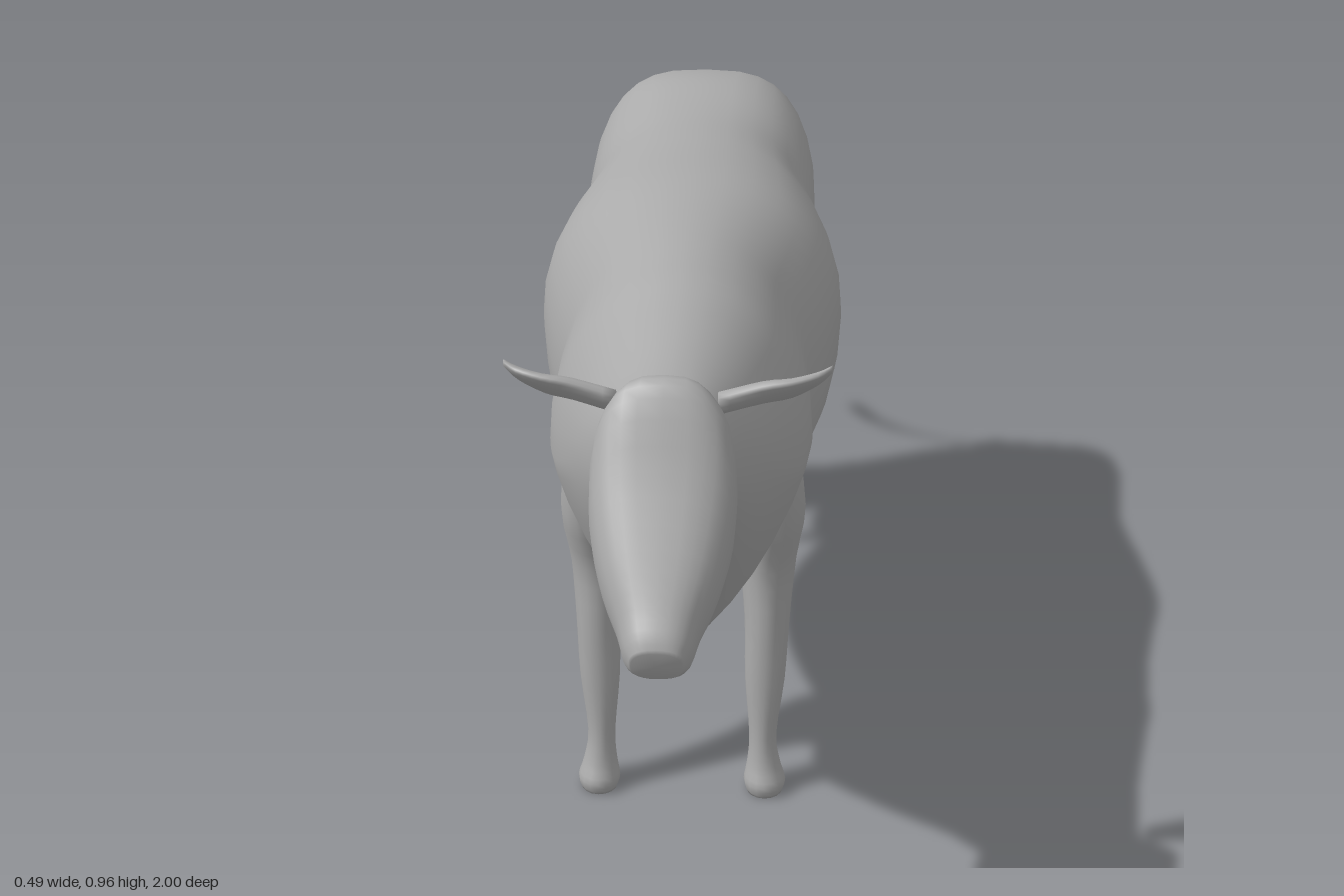
import * as THREE from 'three';

const hide = new THREE.MeshStandardMaterial({ color: 0xaaaaaa });
hide.name = 'hide grey';

// Catmull-Rom resampling of numeric rows, n steps per span
function smooth(rows, n) {
  const out = [];
  const last = rows.length - 1;
  for (let i = 0; i < last; i++) {
    const a = rows[Math.max(i - 1, 0)], b = rows[i], c = rows[i + 1], d = rows[Math.min(i + 2, last)];
    for (let k = 0; k < n; k++) {
      const t = k / n;
      out.push(b.map((v, j) => v + 0.5 * t * (c[j] - a[j]
        + t * (2 * a[j] - 5 * v + 4 * c[j] - d[j] + t * (3 * (v - c[j]) + d[j] - a[j])))));
    }
  }
  out.push(rows[last]);
  return out;
}

// Closed skin through rings; each ring is a superellipse with centre c,
// side axis u, upper axis up, lower axis down and a squareness for each half
function loft(name, rings, sides = 24) {
  const pos = [], idx = [];
  const pw = (v, e) => Math.sign(v) * Math.pow(Math.abs(v), 2 / e);
  for (const { c, u, up, down = up, e1 = 2, e2 = 2 } of rings) {
    for (let k = 0; k < sides; k++) {
      const a = (k / sides) * Math.PI * 2;
      const s = Math.sin(a), e = s >= 0 ? e1 : e2, v = s >= 0 ? up : down;
      for (let j = 0; j < 3; j++) pos.push(c[j] + u[j] * pw(Math.cos(a), e) + v[j] * pw(s, e));
    }
  }
  const last = rings.length - 1;
  const capA = pos.length / 3, capB = capA + 1;
  pos.push(...rings[0].c, ...rings[last].c);
  for (let k = 0; k < sides; k++) {
    const m = (k + 1) % sides;
    for (let i = 0; i < last; i++) {
      const a = i * sides + k, b = i * sides + m;
      idx.push(a, b, a + sides, b, b + sides, a + sides);
    }
    idx.push(capA, m, k, capB, last * sides + k, last * sides + m);
  }
  // Turn the faces outward if the signed volume is negative
  const P = i => new THREE.Vector3().fromArray(pos, i * 3);
  const o = P(capA);
  let vol = 0;
  for (let i = 0; i < idx.length; i += 3) {
    const [a, b, c] = [0, 1, 2].map(k => P(idx[i + k]).sub(o));
    vol += a.dot(b.cross(c));
  }
  if (vol < 0) idx.reverse();
  const g = new THREE.BufferGeometry();
  g.setAttribute('position', new THREE.Float32BufferAttribute(pos, 3));
  g.setIndex(idx);
  g.computeVertexNormals();
  const mesh = new THREE.Mesh(g, hide);
  mesh.name = name;
  return mesh;
}

// Row: top z, top y, bottom z, bottom y, half width, height of widest point, squareness above, below
const trunkRing = ([zt, yt, zb, yb, w, f, e1, e2]) => {
  const y = yb + (yt - yb) * f, z = zb + (zt - zb) * f;
  return { c: [0, y, z], u: [w, 0, 0], up: [0, yt - y, zt - z], down: [0, y - yb, z - zb], e1, e2 };
};

// Row: x, y, z, half width, half depth
const limbRing = s => ([x, y, z, rx, rz]) => ({ c: [s * x, y, z], u: [rx, 0, 0], up: [0, 0, rz] });

const BODY = [
  [0.75, 0.90, 0.70, 0.66, 0.085, 0.5, 2.2, 2],
  [0.66, 0.895, 0.64, 0.61, 0.105, 0.5, 2.2, 2],
  [0.57, 0.893, 0.56, 0.51, 0.135, 0.55, 2, 1.8],
  [0.48, 0.90, 0.47, 0.40, 0.165, 0.55, 2, 1.5],
  [0.40, 0.91, 0.385, 0.31, 0.19, 0.55, 2, 1.35],
  [0.34, 0.92, 0.33, 0.305, 0.20, 0.55, 2, 1.35],
  [0.28, 0.925, 0.28, 0.37, 0.20, 0.5, 2, 1.7],
  [0.20, 0.93, 0.20, 0.385, 0.195, 0.5, 2.1, 2],
  [0.08, 0.933, 0.08, 0.365, 0.222, 0.52, 2.1, 2.1],
  [-0.05, 0.935, -0.05, 0.34, 0.245, 0.58, 2.1, 2.1],
  [-0.20, 0.925, -0.20, 0.33, 0.235, 0.57, 2.1, 2.1],
  [-0.28, 0.92, -0.28, 0.35, 0.215, 0.55, 2.2, 2.1],
  [-0.36, 0.915, -0.36, 0.41, 0.203, 0.5, 2.3, 2.2],
];
const RUMP = [
  [-0.44, 0.915, -0.44, 0.475, 0.20, 0.5, 2.4, 2.4],
  [-0.53, 0.922, -0.53, 0.49, 0.197, 0.5, 2.5, 2.6],
  [-0.60, 0.912, -0.59, 0.47, 0.185, 0.5, 2.9, 3],
  [-0.645, 0.895, -0.635, 0.46, 0.168, 0.5, 3, 3],
  [-0.672, 0.85, -0.665, 0.47, 0.14, 0.5, 3, 3],
  [-0.685, 0.78, -0.68, 0.52, 0.10, 0.5, 2.6, 2.6],
];
const HEAD = [
  [0.735, 0.93, 0.66, 0.68, 0.065, 0.5, 2.4, 2],
  [0.78, 0.965, 0.70, 0.655, 0.082, 0.5, 2.8, 2],
  [0.81, 0.945, 0.76, 0.64, 0.098, 0.58, 2.8, 2],
  [0.86, 0.86, 0.82, 0.622, 0.098, 0.62, 2.8, 2],
  [0.92, 0.775, 0.87, 0.61, 0.08, 0.6, 2.7, 2],
  [0.965, 0.715, 0.91, 0.602, 0.057, 0.55, 2.5, 2.2],
  [0.99, 0.685, 0.95, 0.60, 0.046, 0.5, 2.5, 2.5],
  [1.0, 0.665, 0.985, 0.618, 0.034, 0.5, 2.5, 2.5],
];
const FRONT_LEG = [
  [0.13, 0.64, 0.29, 0.045, 0.09],
  [0.143, 0.50, 0.265, 0.05, 0.085],
  [0.135, 0.40, 0.255, 0.045, 0.065],
  [0.135, 0.30, 0.28, 0.036, 0.042],
  [0.133, 0.20, 0.297, 0.032, 0.030],
  [0.131, 0.10, 0.307, 0.022, 0.026],
  [0.133, 0.05, 0.312, 0.027, 0.030],
  [0.135, 0.02, 0.317, 0.034, 0.037],
  [0.135, 0.0, 0.317, 0.029, 0.032],
];
const HIND_LEG = [
  [0.105, 0.70, -0.56, 0.08, 0.10],
  [0.125, 0.56, -0.575, 0.068, 0.10],
  [0.13, 0.47, -0.605, 0.053, 0.075],
  [0.13, 0.40, -0.65, 0.042, 0.052],
  [0.13, 0.33, -0.667, 0.035, 0.042],
  [0.128, 0.20, -0.675, 0.028, 0.030],
  [0.127, 0.10, -0.675, 0.024, 0.027],
  [0.128, 0.05, -0.678, 0.030, 0.033],
  [0.13, 0.02, -0.68, 0.035, 0.040],
  [0.13, 0.0, -0.68, 0.030, 0.035],
];
// Row: x, y, z, half height, half depth, thickness
const EAR = [
  [0.07, 0.89, 0.71, 0.016, 0.018, 0.012],
  [0.13, 0.903, 0.70, 0.024, 0.032, 0.011],
  [0.17, 0.908, 0.695, 0.027, 0.038, 0.009],
  [0.205, 0.922, 0.693, 0.019, 0.030, 0.007],
  [0.224, 0.935, 0.69, 0.008, 0.012, 0.004],
];
// Row: y, z, half width, radius
const TAIL = [
  [0.87, -0.655, 0.017, 0.016],
  [0.80, -0.695, 0.014, 0.012],
  [0.66, -0.74, 0.013, 0.010],
  [0.53, -0.82, 0.014, 0.011],
  [0.44, -0.90, 0.015, 0.013],
  [0.395, -0.965, 0.016, 0.014],
  [0.38, -0.995, 0.011, 0.008],
];

export function createModel() {
  const cow = new THREE.Group();
  cow.name = 'cow';

  // Trunk with neck and brisket, then the head
  cow.add(loft('body', smooth([...BODY, ...RUMP], 3).map(trunkRing), 32));
  cow.add(loft('head', smooth(HEAD, 3).map(trunkRing), 28));

  // Tail hanging back from the rump
  cow.add(loft('tail', smooth(TAIL, 4).map(([y, z, w, r]) =>
    ({ c: [0, y, z], u: [w, 0, 0], up: [0, r * 0.75, r * 0.7] })), 10));

  // Udder
  const udder = new THREE.Mesh(new THREE.SphereGeometry(1, 24, 16), hide);
  udder.name = 'udder';
  udder.scale.set(0.1, 0.105, 0.135);
  udder.position.set(0, 0.435, -0.475);
  cow.add(udder);

  // Paired parts
  for (const s of [1, -1]) {
    const side = s > 0 ? 'left' : 'right';
    cow.add(loft(side + 'FrontLeg', smooth(FRONT_LEG, 3).map(limbRing(s)), 16));
    cow.add(loft(side + 'HindLeg', smooth(HIND_LEG, 3).map(limbRing(s)), 16));
    cow.add(loft(side + 'Ear', smooth(EAR, 3).map(([x, y, z, h, d, t]) =>
      ({ c: [s * x, y, z], u: [0, h, d], up: [0, t, -t * 0.75] })), 14));
    for (const z of [-0.43, -0.555]) {
      const teat = new THREE.Mesh(new THREE.CylinderGeometry(0.02, 0.009, 0.09, 10), hide);
      teat.name = side + 'Teat';
      teat.position.set(s * 0.054, 0.338, z);
      teat.rotation.z = s * 0.3;
      cow.add(teat);
    }
  }
  return cow;
}
